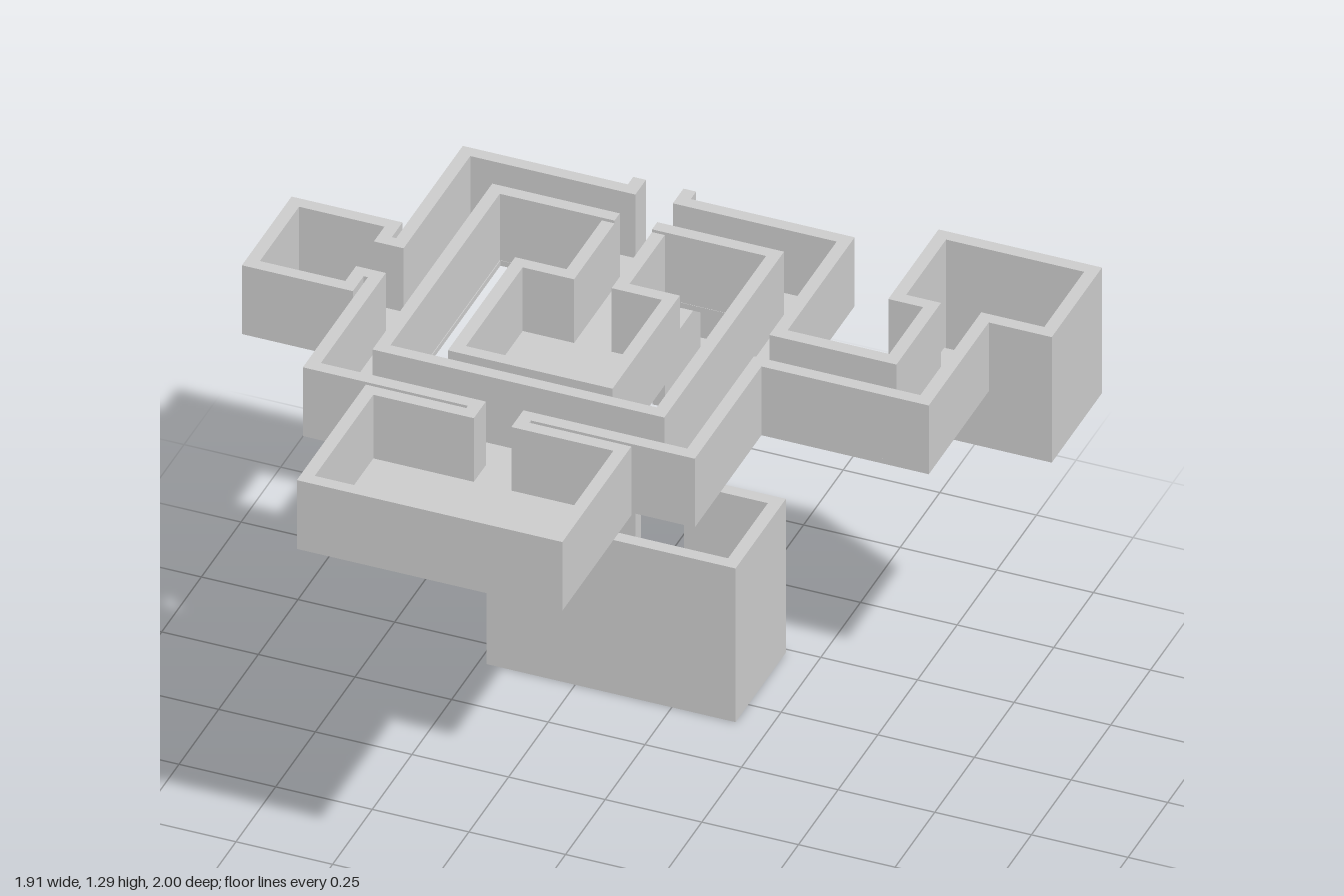
import * as THREE from 'three';

const T = 0.033; // wall thickness
const F = 0.015; // floor thickness

export function createModel() {
  const root = new THREE.Group();
  const mat = new THREE.MeshStandardMaterial({ color: 0xcccccc, flatShading: true });

  const group = (name) => {
    const g = new THREE.Group();
    g.name = name;
    root.add(g);
    return g;
  };
  // Block given by its extents on each axis
  const block = (parent, name, x0, x1, y0, y1, z0, z1) => {
    const m = new THREE.Mesh(new THREE.BoxGeometry(x1 - x0, y1 - y0, z1 - z0), mat);
    m.position.set((x0 + x1) / 2, (y0 + y1) / 2, (z0 + z1) / 2);
    m.name = name;
    parent.add(m);
  };
  // Four walls around a rectangle; doors = { back, front, left, right }: [from, to, sill]
  const walls = (g, x0, x1, z0, z1, y0, y1, doors = {}) => {
    const side = (name, a0, a1, b0, b1, alongX) => {
      const put = (a, b, lo, hi) => alongX
        ? block(g, name, a, b, lo, hi, b0, b1)
        : block(g, name, b0, b1, lo, hi, a, b);
      const d = doors[name];
      if (!d) return put(a0, a1, y0, y1);
      put(a0, d[0], y0, y1);
      put(d[1], a1, y0, y1);
      if (d[2]) put(d[0], d[1], y0, d[2]);
    };
    side('back', x0, x1, z0, z0 + T, true);
    side('front', x0, x1, z1 - T, z1, true);
    side('right', z0 + T, z1 - T, x0, x0 + T, false);
    side('left', z0 + T, z1 - T, x1 - T, x1, false);
  };
  // Room: floor slab plus walls
  const room = (name, x0, x1, z0, z1, y0, y1, doors) => {
    const g = group(name);
    block(g, 'floor', x0, x1, y0, y0 + F, z0, z1);
    walls(g, x0, x1, z0, z1, y0 + F, y1, doors);
    return g;
  };

  const Y0 = 1.08, Y1 = 1.28, YF = Y0 + F;
  const door = [-0.197, -0.1];

  // Square ring corridor with an open courtyard
  const ring = group('ringCorridor');
  block(ring, 'floor', -0.657, 0.357, Y0, YF, -0.453, -0.288);
  block(ring, 'floor', -0.657, 0.357, Y0, YF, 0.4, 0.555);
  block(ring, 'floor', -0.657, -0.492, Y0, YF, -0.288, 0.4);
  block(ring, 'floor', 0.195, 0.357, Y0, YF, -0.288, 0.4);
  walls(ring, -0.657, 0.357, -0.453, 0.555, YF, Y1,
    { back: door, front: door, right: [0, 0.112], left: [0.005, 0.102] });
  walls(ring, -0.527, 0.228, -0.322, 0.433, YF, 1.288, { back: door });

  // Central room and its passage to the ring
  room('centralRoom', -0.363, 0.063, -0.067, 0.357, Y0, Y1, { back: door });

  // Short passages running along z: walls either side of the doorway
  const passage = (name, z0, z1) => {
    const g = group(name);
    block(g, 'floor', door[0] - T, door[1] + T, Y0, YF, z0, z1);
    block(g, 'wall', door[0] - T, door[0], YF, Y1, z0, z1);
    block(g, 'wall', door[1], door[1] + T, YF, Y1, z0, z1);
  };
  passage('centralPassage', -0.289, -0.067);
  passage('backDoorway', -0.487, -0.453);
  passage('frontDoorway', 0.555, 0.565);

  // Large front room
  room('frontRoom', -0.49, 0.197, 0.565, 1, Y0, Y1, { front: null, back: door });

  // Small side room with a ledge, and its doorway
  const small = room('smallRoom', -0.955, -0.668, -0.1, 0.213, Y0, Y1, { left: [0, 0.112] });
  block(small, 'ledge', -0.88, -0.76, YF, YF + 0.03, 0.156, 0.181);
  block(small, 'doorwayFloor', -0.668, -0.657, Y0, YF, -0.033, 0.145);
  block(small, 'doorwayWall', -0.668, -0.657, YF, Y1, -0.033, 0);
  block(small, 'doorwayWall', -0.668, -0.657, YF, Y1, 0.112, 0.145);

  // Bent corridor from the ring to the deep room
  const bend = group('bentCorridor');
  block(bend, 'floor', 0.357, 0.79, Y0, YF, -0.03, 0.135);
  block(bend, 'floor', 0.62, 0.79, Y0, YF, -0.245, -0.03);
  block(bend, 'wall', 0.357, 0.79, YF, Y1, 0.102, 0.135);
  block(bend, 'wall', 0.757, 0.79, YF, Y1, -0.245, 0.102);
  block(bend, 'wall', 0.357, 0.653, YF, Y1, -0.03, 0.005);
  block(bend, 'wall', 0.62, 0.653, YF, Y1, -0.245, -0.03);

  // Deep room with steps down from the corridor
  const deep = room('deepRoom', 0.53, 0.953, -0.56, -0.243, 0.915, Y1,
    { front: [0.653, 0.757, YF] });
  block(deep, 'landing', 0.63, 0.765, 0.93, YF, -0.352, -0.276);
  block(deep, 'step', 0.63, 0.73, 0.93, 1.01, -0.413, -0.352);

  // Tall lower room with a full-height doorway
  room('lowerRoom', -0.48, 0.165, -0.487, -0.17, 0, 0.447, { back: [-0.21, -0.085] });

  // T-shaped room: crossbar plus open-ended stem
  const tee = room('teeRoom', -0.365, 0.053, -1, -0.872, 0.485, 0.653, { front: [-0.228, -0.08] });
  block(tee, 'stemFloor', -0.261, -0.047, 0.485, 0.485 + F, -0.872, -0.683);
  block(tee, 'stemWall', -0.261, -0.228, 0.485 + F, 0.653, -0.872, -0.683);
  block(tee, 'stemWall', -0.08, -0.047, 0.485 + F, 0.653, -0.872, -0.683);

  return root;
}
